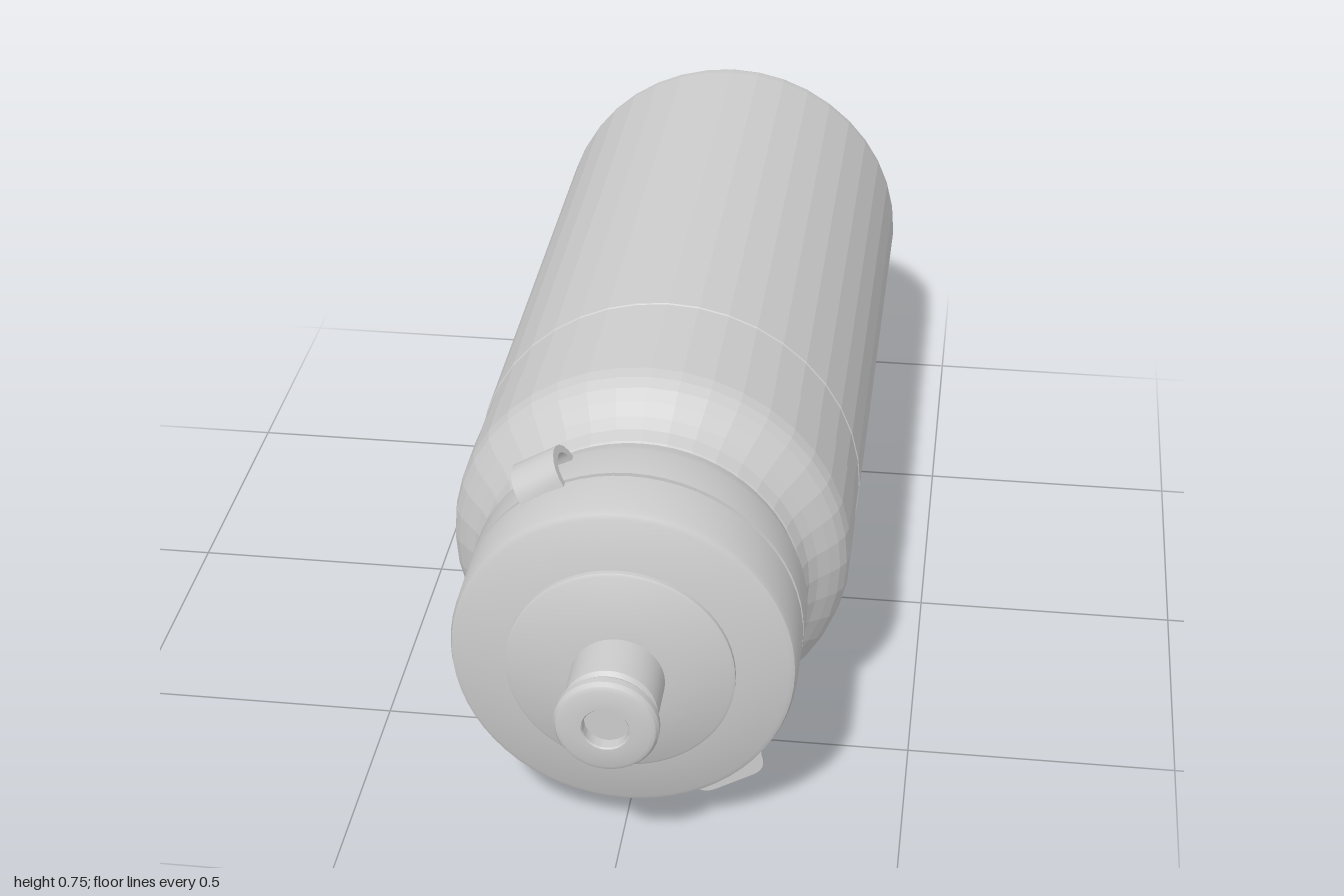
import * as THREE from 'three';
import { toCreasedNormals } from 'three/addons/utils/BufferGeometryUtils.js';

const AXIS_Y = 0.375;

const material = (flat = false) =>
  new THREE.MeshStandardMaterial({ color: 0xcccccc, flatShading: flat, side: THREE.DoubleSide });

// Turned part lying along z; profile is [radius, z] from back to front
function turned(name, profile, sides, flat) {
  const points = profile.map(([r, z]) => new THREE.Vector2(r, z));
  let geometry = new THREE.LatheGeometry(points, sides).rotateX(Math.PI / 2);
  if (!flat) geometry = toCreasedNormals(geometry, 0.5);
  const mesh = new THREE.Mesh(geometry, material(flat));
  mesh.name = name;
  return mesh;
}

function extruded(name, shape, depth) {
  const geometry = new THREE.ExtrudeGeometry(shape, { depth, bevelEnabled: false, curveSegments: 10 });
  const mesh = new THREE.Mesh(toCreasedNormals(geometry, 0.5), material());
  mesh.name = name;
  return mesh;
}

export function createModel() {
  const bottle = new THREE.Group();
  bottle.name = 'bottle';

  // Main container with recessed base and rounded shoulder
  bottle.add(turned('body', [
    [0, -0.965], [0.175, -0.965], [0.21, -1], [0.32, -1], [0.345, -0.995],
    [0.363, -0.98], [0.371, -0.96], [0.373, -0.94],
    [0.373, 0.16], [0.371, 0.162], [0.371, 0.283], [0.373, 0.285],
    [0.373, 0.41], [0.368, 0.435], [0.357, 0.455], [0.34, 0.475],
    [0.32, 0.495], [0.305, 0.515], [0.296, 0.54], [0.28, 0.56],
  ], 40, true));

  // Tamper ring and cap, separated by a thin groove
  bottle.add(turned('lowerRing', [
    [0.275, 0.54], [0.292, 0.54], [0.298, 0.56], [0.308, 0.59], [0.308, 0.67], [0.298, 0.67],
  ], 64));
  bottle.add(turned('cap', [
    [0.298, 0.665], [0.298, 0.68], [0.308, 0.68], [0.308, 0.785], [0.304, 0.797],
    [0.295, 0.802], [0.203, 0.819], [0.203, 0.828], [0.198, 0.831], [0.085, 0.852], [0, 0.852],
  ], 64));

  // Pull spout with flanged lip and a hollow in its tip
  bottle.add(turned('spout', [
    [0.083, 0.845], [0.083, 0.945], [0.076, 0.952], [0.076, 0.963], [0.086, 0.966],
    [0.091, 0.974], [0.091, 0.988], [0.086, 0.996], [0.078, 1],
    [0.042, 1], [0.04, 0.997], [0.04, 0.975], [0, 0.975],
  ], 40));

  // Thumb tab under the cap: +x points away from the bottle axis
  const tab = new THREE.Group();
  tab.name = 'thumbTab';
  const outline = new THREE.Shape();
  outline.moveTo(0.27, -0.125);
  outline.lineTo(0.285, -0.123);
  outline.bezierCurveTo(0.315, -0.105, 0.32, -0.085, 0.35, -0.075);
  outline.quadraticCurveTo(0.378, -0.07, 0.379, -0.04);
  outline.lineTo(0.379, 0.04);
  outline.quadraticCurveTo(0.378, 0.07, 0.35, 0.075);
  outline.bezierCurveTo(0.32, 0.085, 0.315, 0.105, 0.285, 0.123);
  outline.lineTo(0.27, 0.125);
  outline.closePath();
  const plate = extruded('tabPlate', outline, 0.012);
  plate.position.z = 0.682;
  tab.add(plate);

  // Triangular rib bracing the tab against the cap
  const ribShape = new THREE.Shape();
  ribShape.moveTo(0.3, 0.69);
  ribShape.lineTo(0.353, 0.69);
  ribShape.lineTo(0.3, 0.74);
  ribShape.closePath();
  const rib = extruded('tabRib', ribShape, 0.01);
  rib.rotation.x = Math.PI / 2;
  rib.position.y = 0.005;
  tab.add(rib);
  tab.rotation.z = -Math.PI / 3;
  bottle.add(tab);

  // Hinge strap arching over the groove, opposite the tab
  const arch = new THREE.Shape();
  arch.moveTo(0.3, 0.59);
  arch.bezierCurveTo(0.373, 0.59, 0.373, 0.695, 0.3, 0.695);
  arch.lineTo(0.3, 0.681);
  arch.bezierCurveTo(0.354, 0.681, 0.354, 0.604, 0.3, 0.604);
  arch.closePath();
  const hinge = new THREE.Group();
  hinge.name = 'hinge';
  const strap = extruded('hingeStrap', arch, 0.088);
  strap.rotation.x = Math.PI / 2;
  strap.position.y = 0.044;
  hinge.add(strap);
  hinge.rotation.z = (2 * Math.PI) / 3;
  bottle.add(hinge);

  bottle.position.y = AXIS_Y;
  const model = new THREE.Group();
  model.add(bottle);
  return model;
}
